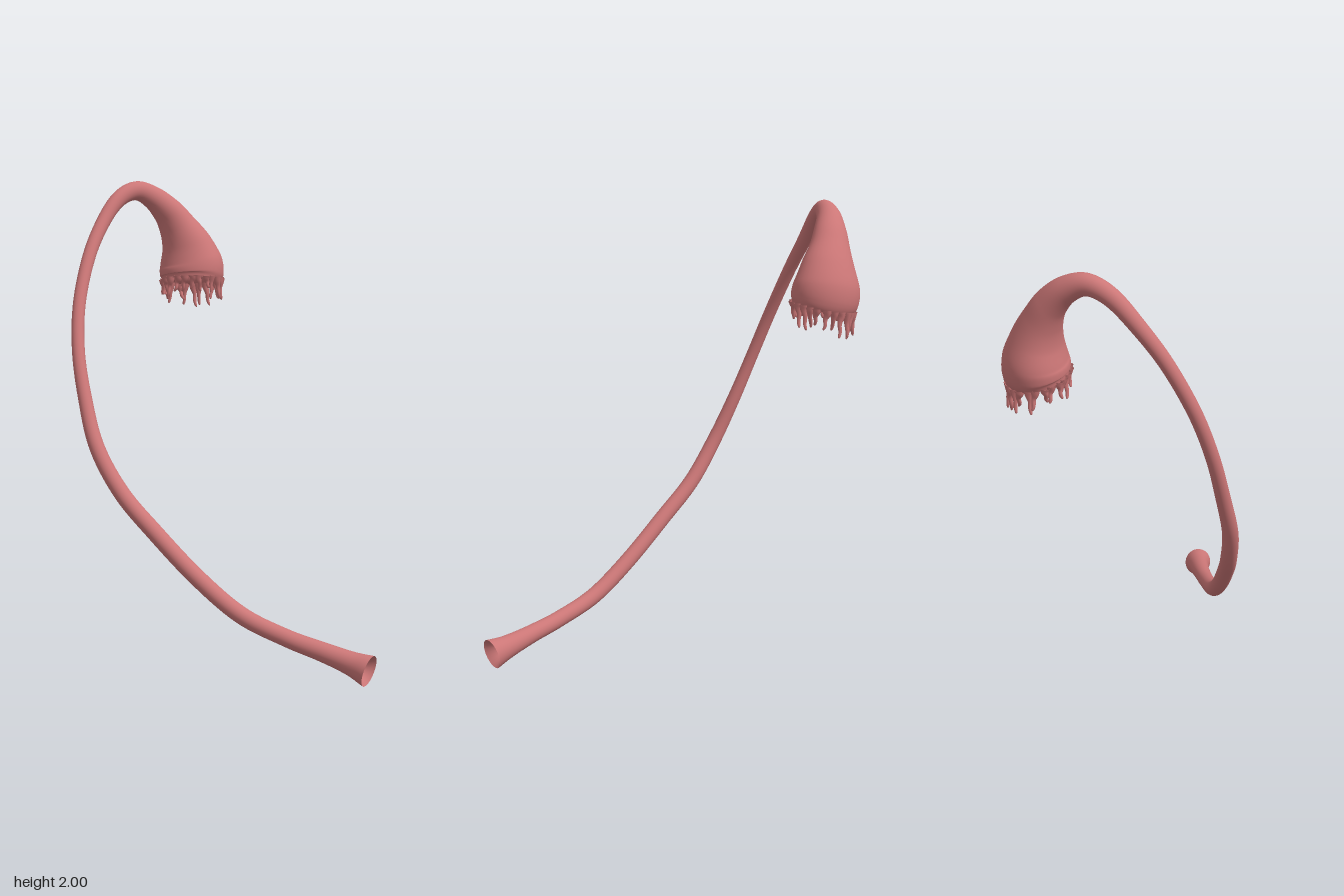
import * as THREE from 'three';

const material = new THREE.MeshStandardMaterial({ color: 0xcc7777, side: THREE.DoubleSide });

// Centre line and two radii per station: x, y, z, ru, rv
const stations = [
  [0.76, 0.068, 0.30, 0.062, 0.066],
  [0.68, 0.088, 0.305, 0.047, 0.050],
  [0.56, 0.118, 0.32, 0.040, 0.040],
  [0.40, 0.157, 0.345, 0.036, 0.036],
  [0.20, 0.228, 0.375, 0.036, 0.036],
  [0.00, 0.362, 0.40, 0.036, 0.036],
  [-0.20, 0.53, 0.42, 0.036, 0.036],
  [-0.37, 0.685, 0.43, 0.035, 0.035],
  [-0.50, 0.87, 0.43, 0.033, 0.033],
  [-0.59, 1.07, 0.395, 0.030, 0.030],
  [-0.66, 1.27, 0.35, 0.028, 0.028],
  [-0.708, 1.47, 0.28, 0.028, 0.028],
  [-0.735, 1.67, 0.175, 0.029, 0.029],
  [-0.74, 1.82, 0.065, 0.032, 0.031],
  [-0.725, 1.92, -0.03, 0.037, 0.034],
  [-0.695, 1.957, -0.12, 0.043, 0.040],
  [-0.66, 1.925, -0.20, 0.053, 0.054],
  [-0.62, 1.86, -0.26, 0.065, 0.075],
  [-0.59, 1.79, -0.295, 0.079, 0.095],
  [-0.562, 1.71, -0.32, 0.102, 0.127],
  [-0.545, 1.63, -0.332, 0.127, 0.154],
  [-0.537, 1.575, -0.33, 0.133, 0.155],
  [-0.533, 1.543, -0.324, 0.122, 0.143],
];

const pathOf = (rows) => new THREE.CatmullRomCurve3(rows.map((s) => new THREE.Vector3(s[0], s[1], s[2])), false, 'catmullrom', 0.5);
const radiiOf = (rows) => new THREE.CatmullRomCurve3(rows.map((s) => new THREE.Vector3(s[3], s[4], 0)), false, 'catmullrom', 0.5);

// Point on an elliptical cross-section at t along the path
function surfacePoint(path, t, ru, rv, angle) {
  const tangent = path.getTangent(t);
  const u = tangent.clone().cross(new THREE.Vector3(1, 0, 0)).normalize();
  const v = tangent.clone().cross(u);
  return path.getPoint(t)
    .addScaledVector(u, ru * Math.cos(angle))
    .addScaledVector(v, rv * Math.sin(angle));
}

// Sweeps an ellipse of changing size along the stations
function sweep(name, rows, steps, sides, scale = () => 1) {
  const path = pathOf(rows), radii = radiiOf(rows);
  const positions = [], index = [];
  for (let i = 0; i <= steps; i++) {
    const t = i / steps, r = radii.getPoint(t).multiplyScalar(scale(t));
    for (let j = 0; j < sides; j++) {
      const p = surfacePoint(path, t, r.x, r.y, (j / sides) * Math.PI * 2);
      positions.push(p.x, p.y, p.z);
      if (i === steps) continue;
      const a = i * sides + j, b = i * sides + (j + 1) % sides;
      index.push(a, b, a + sides, b, b + sides, a + sides);
    }
  }
  const geometry = new THREE.BufferGeometry();
  geometry.setAttribute('position', new THREE.Float32BufferAttribute(positions, 3));
  geometry.setIndex(index);
  geometry.computeVertexNormals();
  const mesh = new THREE.Mesh(geometry, material);
  mesh.name = name;
  return mesh;
}

function seeded(seed) {
  return () => {
    seed = (seed * 16807) % 2147483647;
    return seed / 2147483647;
  };
}

// Ragged fringe of tapering fingers hanging from the rim
function createFringe() {
  const fringe = new THREE.Group();
  fringe.name = 'fringe';
  const random = seeded(41), path = pathOf(stations), count = 24;
  for (let i = 0; i < count; i++) {
    const angle = ((i + 0.4 * (random() - 0.5)) / count) * Math.PI * 2;
    const root = surfacePoint(path, 1, 0.118, 0.139, angle);
    const out = root.clone().sub(path.getPoint(1)).setY(0).normalize();
    const side = new THREE.Vector3(-out.z, 0, out.x);
    // Fingers grow longer toward the back
    const length = 0.05 + 0.04 * random() + (out.z < 0 ? 0.025 * random() : 0);
    const sway = (random() - 0.5) * 0.035, lean = (random() - 0.55) * 0.03;
    const rows = [
      [-0.1, 0, 0, 0.021], [0.12, 0, 0, 0.016], [0.4, 0.5, 0.1, 0.0095],
      [0.72, 0.5, 0.7, 0.0075], [0.94, 1, 1, 0.005], [1, 1.1, 1.05, 0.0004],
    ].map(([drop, s, l, r]) => {
      const p = root.clone().addScaledVector(side, s * sway).addScaledVector(out, l * lean);
      return [p.x, p.y - drop * length, p.z, r, r];
    });
    fringe.add(sweep('finger', rows, 15, 8));
  }
  return fringe;
}

export function createModel() {
  const group = new THREE.Group();
  group.name = 'fringedTube';
  group.add(sweep('outerWall', stations, 180, 32));
  // Inner channel meets the outer wall at both open ends
  const channel = (t) => 0.5 + 0.5 * Math.max(Math.exp(-t * 40), Math.exp((t - 1) * 40));
  group.add(sweep('innerChannel', stations, 180, 20, channel));
  group.add(createFringe());
  return group;
}
